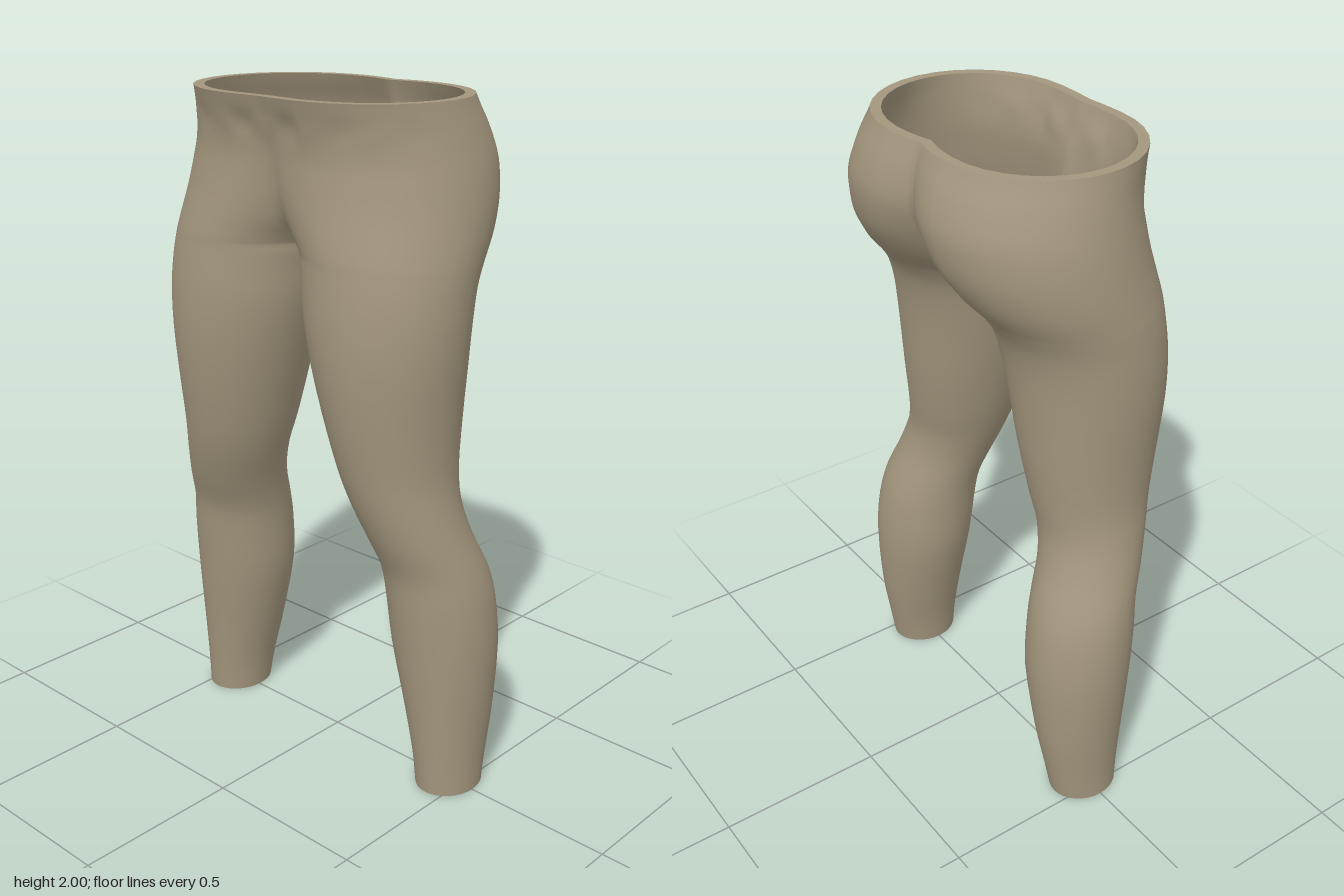
import * as THREE from 'three';
import { mergeVertices } from 'three/addons/utils/BufferGeometryUtils.js';

const CROTCH = 1.57;   // height where the two legs join
const WALL = 0.03;     // cloth thickness
const ARC = 8;         // segments in each quarter of a section

// Leg sections: height, inner x, outer x, front z, back z
const LEG = [
  [0, 0.36, 0.545, 0.105, -0.11],
  [0.1, 0.347, 0.548, 0.112, -0.128],
  [0.25, 0.312, 0.56, 0.125, -0.152],
  [0.45, 0.265, 0.572, 0.145, -0.166],
  [0.6, 0.252, 0.566, 0.16, -0.155],
  [0.7, 0.242, 0.549, 0.172, -0.13],
  [0.8, 0.22, 0.52, 0.21, -0.092],
  [0.9, 0.185, 0.495, 0.243, -0.073],
  [1.0, 0.15, 0.481, 0.268, -0.085],
  [1.15, 0.106, 0.486, 0.295, -0.105],
  [1.3, 0.065, 0.499, 0.312, -0.118],
  [1.42, 0.035, 0.505, 0.314, -0.132],
  [1.51, 0.018, 0.504, 0.308, -0.155],
  [CROTCH, 0, 0.502, 0.302, -0.19],
];

// Hip sections: height, outer x, front z, back z, x of fullest depth, front seam z, back seam z
const HIPS = [
  [1.6, 0.5, 0.3, -0.215, 0.24, 0.13, -0.06],
  [1.65, 0.496, 0.293, -0.255, 0.22, 0.2, -0.14],
  [1.72, 0.488, 0.283, -0.294, 0.19, 0.235, -0.205],
  [1.79, 0.477, 0.275, -0.312, 0.17, 0.25, -0.25],
  [1.85, 0.464, 0.272, -0.314, 0.155, 0.26, -0.267],
  [1.92, 0.446, 0.282, -0.295, 0.14, 0.273, -0.262],
  [1.97, 0.433, 0.298, -0.272, 0.13, 0.291, -0.249],
  [2, 0.426, 0.307, -0.258, 0.13, 0.301, -0.239],
];

// Bring both tables to one layout and smooth between the key sections
function makeSections() {
  const keys = [
    ...LEG.map(([y, xi, xo, zf, zb]) => [y, xi, xo, zf, zb, (xi + xo) / 2, (zf + zb) / 2, (zf + zb) / 2]),
    ...HIPS.map(([y, xo, zf, zb, cx, sf, sb]) => [y, 0, xo, zf, zb, cx, sf, sb]),
  ];
  const key = (i) => keys[Math.min(Math.max(i, 0), keys.length - 1)];
  const out = [];
  const steps = 3;
  for (let k = 0; k < keys.length - 1; k++) {
    for (let s = 0; s < steps; s++) {
      const t = s / steps;
      out.push(key(k).map((p1, c) => {
        const p0 = key(k - 1)[c], p2 = key(k + 1)[c], p3 = key(k + 2)[c];
        const m1 = (p2 - p0) / 2, m2 = (p3 - p1) / 2;
        return p1 + m1 * t + (3 * (p2 - p1) - 2 * m1 - m2) * t * t + (2 * (p1 - p2) + m1 + m2) * t * t * t;
      }));
    }
  }
  out.push(keys[keys.length - 1]);
  return out;
}

// One half section, from the front seam round the outside to the back seam
function ring([y, xi, xo, zf, zb, cx, sf, sb], inset) {
  const cz = (zf + zb) / 2;
  const open = y > CROTCH + 0.001;
  let inner = 0;
  if (!open) inner = y > CROTCH - 0.001 ? 0 : Math.max(xi, 0) + inset;
  xo -= inset; zf -= inset; zb += inset;
  const limit = (v) => Math.acos(THREE.MathUtils.clamp(v, 0, 0.985));
  const af = open ? limit((sf - inset - cz) / (zf - cz)) : Math.PI / 2;
  const ab = open ? limit((sb + inset - cz) / (zb - cz)) : Math.PI / 2;
  const rf = (cx - inner) / Math.sin(af), rb = (cx - inner) / Math.sin(ab);
  const pts = [];
  const arc = (from, to, rx, z, first) => {
    for (let i = first; i <= ARC; i++) {
      const a = from + (to - from) * i / ARC;
      pts.push([cx + rx * Math.sin(a), y, cz + (z - cz) * Math.cos(a)]);
    }
  };
  arc(-af, 0, rf, zf, 0);
  arc(0, Math.PI / 2, xo - cx, zf, 1);
  arc(Math.PI / 2, 0, xo - cx, zb, 1);
  arc(0, -ab, rb, zb, 1);
  // soft gathers under the front of the waistband
  const fold = 0.006 * Math.exp(-(((y - 1.92) / 0.03) ** 2));
  for (const p of pts) {
    if (p[2] > cz) p[2] += fold * Math.cos(p[0] * 38) * (p[2] - cz) / (zf - cz);
    if (Math.abs(p[0]) < 1e-6) p[0] = 0;
  }
  return pts;
}

// Skin a list of rings, mirrored to both sides and welded along the seam
function skin(rings, flip = false) {
  const pos = [], index = [];
  const n = rings[0].length;
  for (const side of [1, -1]) {
    const base = pos.length / 3;
    for (const r of rings) for (const [x, y, z] of r) pos.push(x * side, y, z);
    for (let i = 0; i < rings.length - 1; i++) {
      for (let j = 0; j < n - 1; j++) {
        const a = base + i * n + j, b = a + 1, c = a + n, d = c + 1;
        if ((side > 0) !== flip) index.push(a, b, d, a, d, c);
        else index.push(a, d, b, a, c, d);
      }
    }
  }
  let geo = new THREE.BufferGeometry();
  geo.setAttribute('position', new THREE.Float32BufferAttribute(pos, 3));
  geo.setIndex(index);
  geo = mergeVertices(geo, 1e-5);
  geo.computeVertexNormals();
  return geo;
}

export function createModel() {
  const group = new THREE.Group();
  group.name = 'leggings';
  const cloth = new THREE.MeshStandardMaterial({ color: 0xa3967d });
  cloth.name = 'khaki cloth';

  const sections = makeSections();
  const outer = sections.map((s) => ring(s, 0));
  const inner = sections.map((s) => ring(s, WALL));
  const top = sections.length - 1;

  const add = (name, geo) => {
    const mesh = new THREE.Mesh(geo, cloth);
    mesh.name = name;
    group.add(mesh);
  };
  add('outerCloth', skin(outer));
  add('lining', skin(inner, true));
  // flat edges closing the cloth thickness
  add('waistRim', skin([outer[top], inner[top]]));
  add('ankleCuffs', skin([inner[0], outer[0]]));
  return group;
}
